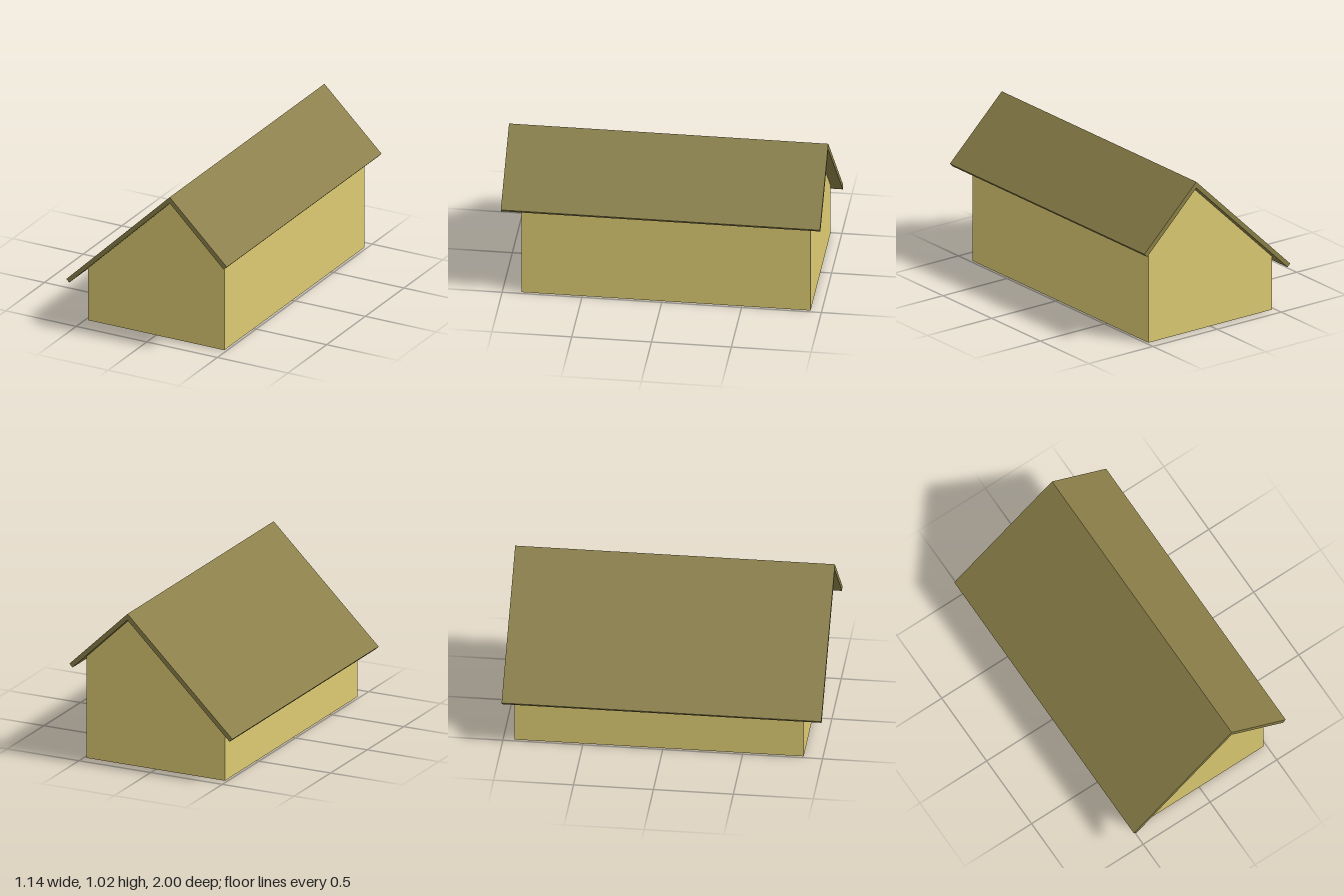
import * as THREE from 'three';

const BACK = -0.93, FRONT = 0.88; // house body extent along z
const W = 0.483;                  // half width of the body
const RECESS = 0.012;             // depth of the hollow below the floor

const material = (color) => new THREE.MeshStandardMaterial({ color, flatShading: true });

const polygon = (points) => new THREE.Shape(points.map(([x, y]) => new THREE.Vector2(x, y)));

// Extrude a front profile along z
function prism(name, points, z0, z1, mat) {
  const geometry = new THREE.ExtrudeGeometry(polygon(points), { depth: z1 - z0, bevelEnabled: false });
  geometry.translate(0, 0, z0);
  const mesh = new THREE.Mesh(geometry, mat);
  mesh.name = name;
  return mesh;
}

export function createModel() {
  const model = new THREE.Group();
  model.name = 'house';
  const wallMat = material(0xdcca72);
  const roofMat = material(0x8a7f48);

  // Walls with an off-centre gable
  model.add(prism('walls', [
    [-W, RECESS], [W, RECESS], [W, 0.665], [0.162, 0.975], [-W, 0.352],
  ], BACK, FRONT, wallMat));

  // Lower rim of the walls around the recessed floor
  const t = 0.012;
  const rim = polygon([[-W, -FRONT], [W, -FRONT], [W, -BACK], [-W, -BACK]]);
  rim.holes.push(polygon([
    [-W + t, -FRONT + t], [-W + t, -BACK - t], [W - t, -BACK - t], [W - t, -FRONT + t],
  ]));
  const rimGeometry = new THREE.ExtrudeGeometry(rim, { depth: RECESS, bevelEnabled: false });
  rimGeometry.rotateX(-Math.PI / 2);
  const wallRim = new THREE.Mesh(rimGeometry, wallMat);
  wallRim.name = 'wallRim';
  model.add(wallRim);

  // Floor panel
  const floor = new THREE.Mesh(
    new THREE.BoxGeometry(2 * (W - t), 0.006, FRONT - BACK - 2 * t), material(0x707070));
  floor.position.set(0, RECESS - 0.003, (FRONT + BACK) / 2);
  floor.name = 'floor';
  model.add(floor);

  // Roof slabs: long slope on the right, short slope on the left
  model.add(prism('longRoofSlope', [
    [0.162, 0.975], [0.162, 1.016], [-0.57, 0.307], [-0.55, 0.287],
  ], -1, 1, roofMat));
  model.add(prism('shortRoofSlope', [
    [0.162, 0.975], [0.545, 0.605], [0.567, 0.627], [0.162, 1.016],
  ], -1, 1, roofMat));

  return model;
}
